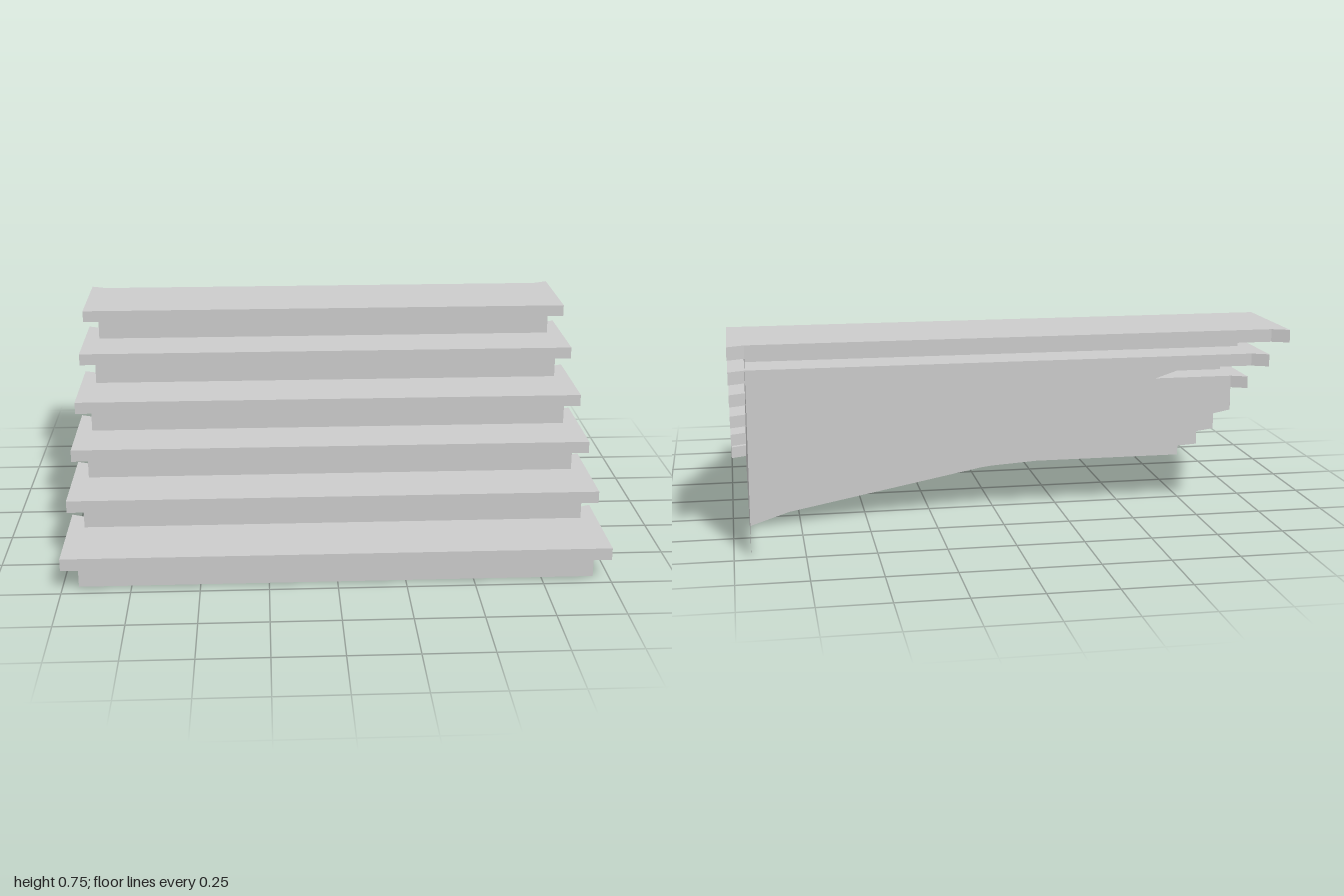
import * as THREE from 'three';

// Each step: tread underside y, tread front z, riser z, and whether a rear sheet hangs from the tread
const STEPS = [
  { y: 0.083, front: 0.735, riser: 0.705, rear: true },
  { y: 0.2, front: 0.48, riser: 0.455, rear: true },
  { y: 0.323, front: 0.273, riser: 0.245, rear: true },
  { y: 0.449, front: 0.08, riser: 0.055, rear: true },
  { y: 0.579, front: -0.14, riser: -0.165, rear: false },
  { y: 0.705, front: -0.332, riser: -0.36, rear: false },
];
const THICK = 0.046, DEPTH = 0.403, NOTCH = 0.027, SIDE = 0.94, BACK = -0.705;

const polygon = (points) => new THREE.Shape(points.map(([x, y]) => new THREE.Vector2(x, y)));

export function createModel() {
  const group = new THREE.Group();
  const solid = new THREE.MeshStandardMaterial({ color: 0xcccccc, flatShading: true });
  const sheet = new THREE.MeshStandardMaterial({ color: 0xcccccc, flatShading: true, side: THREE.DoubleSide });
  const add = (name, geometry, material) => {
    const mesh = new THREE.Mesh(geometry, material);
    mesh.name = name;
    group.add(mesh);
  };

  STEPS.forEach((step, i) => {
    const n = i + 1;

    // Tread slab, cut back between its two rear corners
    const f = -step.front, b = f + DEPTH;
    const tread = new THREE.ExtrudeGeometry(
      polygon([[-1, f], [1, f], [1, b], [SIDE, b - NOTCH], [-SIDE, b - NOTCH], [-1, b]]),
      { depth: THICK, bevelEnabled: false });
    tread.rotateX(-Math.PI / 2);
    tread.translate(0, step.y, 0);
    add('tread' + n, tread, solid);

    // Upright sheets reach the floor at the closed side and taper to the step below at the open side
    const floor = i === 0 ? 0.005 : 0;
    const low = i === 0 ? 0.005 : STEPS[i - 1].y + THICK - 0.01;
    const addUpright = (name, z) => {
      const upright = new THREE.ShapeGeometry(
        polygon([[-SIDE, low], [SIDE, floor], [SIDE, step.y], [-SIDE, step.y]]));
      upright.translate(0, 0, z);
      add(name + n, upright, sheet);
    };
    addUpright('riser', step.riser);
    if (step.rear) addUpright('rearSheet', step.front - DEPTH + NOTCH);
  });

  // Stepped side panel closing the left (+x) side
  const outline = [[-BACK, 0], [-BACK, STEPS[5].y]];
  for (let i = STEPS.length - 1; i >= 0; i--) {
    outline.push([-STEPS[i].riser, STEPS[i].y]);
    outline.push([-STEPS[i].riser, i > 0 ? STEPS[i - 1].y : 0.005]);
  }
  outline.push([-STEPS[1].riser, 0.005], [-STEPS[1].riser, 0]);
  const panel = new THREE.ShapeGeometry(polygon(outline));
  panel.rotateY(Math.PI / 2);
  panel.translate(SIDE, 0, 0);
  add('sidePanel', panel, sheet);

  return group;
}
